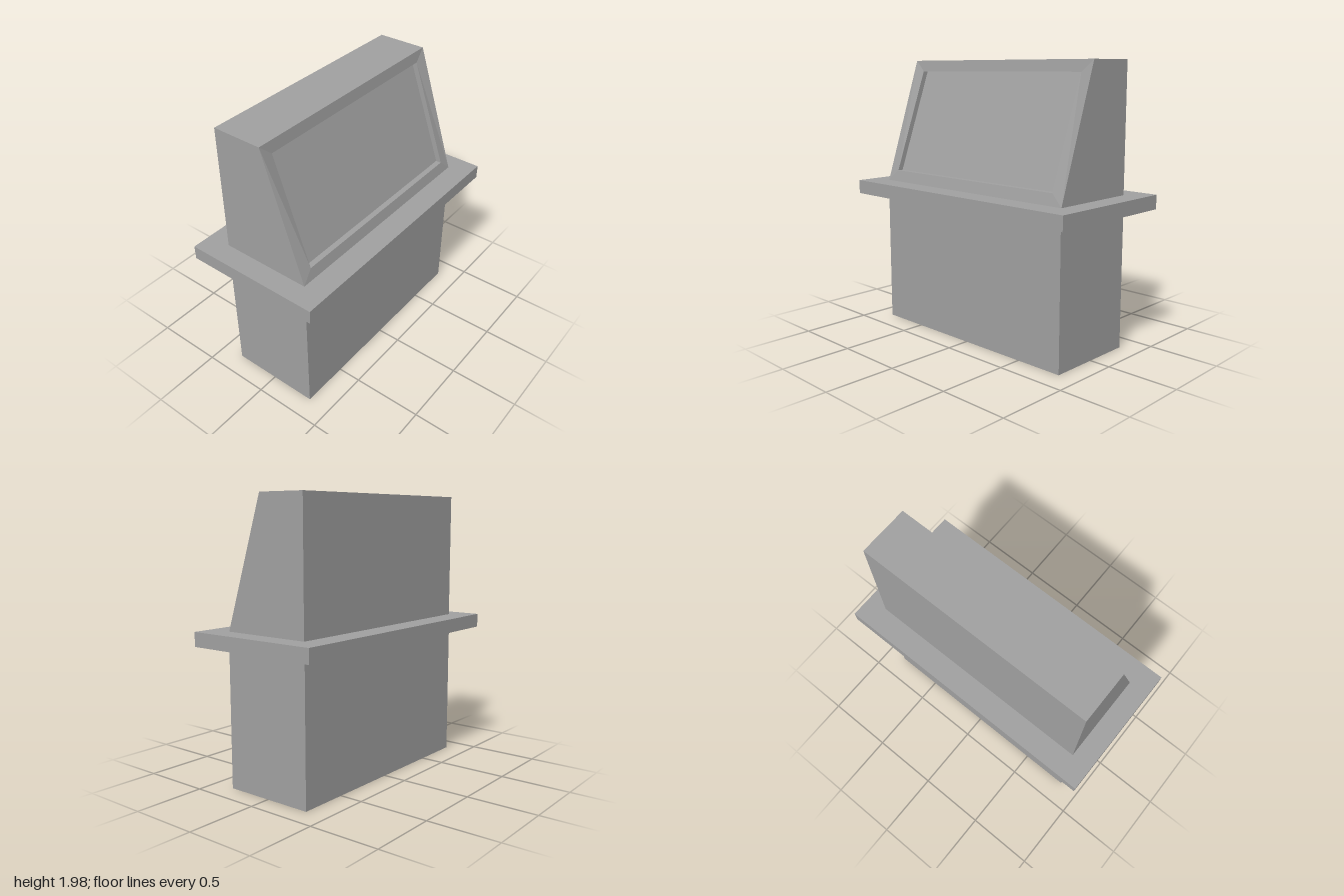
import * as THREE from 'three';

// Four-corner loop, counter-clockwise as seen from the front
const loop = (halfX, y0, z0, y1, z1) => [
  [-halfX, y0, z0], [halfX, y0, z0], [halfX, y1, z1], [-halfX, y1, z1],
];

// Skin a series of four-corner loops from back to front and cap both ends
function skin(loops) {
  const index = [];
  const last = (loops.length - 1) * 4;
  for (let r = 0; r < last; r += 4) {
    for (let i = 0; i < 4; i++) {
      const j = (i + 1) % 4;
      index.push(r + i, r + j, r + 4 + j, r + i, r + 4 + j, r + 4 + i);
    }
  }
  index.push(0, 2, 1, 0, 3, 2);
  index.push(last, last + 1, last + 2, last, last + 2, last + 3);
  const geometry = new THREE.BufferGeometry();
  geometry.setAttribute('position', new THREE.Float32BufferAttribute(loops.flat(2), 3));
  geometry.setIndex(index);
  const flat = geometry.toNonIndexed();
  flat.computeVertexNormals();
  return flat;
}

export function createModel() {
  const model = new THREE.Group();
  model.name = 'console';
  const grey = new THREE.MeshStandardMaterial({ color: 0xa0a0a0 });
  grey.name = 'grey';

  const add = (name, geometry, y = 0) => {
    const mesh = new THREE.Mesh(geometry, grey);
    mesh.name = name;
    mesh.position.y = y;
    model.add(mesh);
  };

  // Pedestal and overhanging counter slab
  add('pedestal', new THREE.BoxGeometry(1.7, 0.98, 0.666), 0.49);
  add('counter', new THREE.BoxGeometry(2, 0.1, 1), 1.03);

  // Sloped housing: back, front edge, screen rim, recessed screen
  add('screenHousing', skin([
    loop(0.85, 1.08, -0.33, 1.98, -0.33),
    loop(0.85, 1.08, 0.33, 1.98, 0.03),
    loop(0.76, 1.16, 0.31, 1.9, 0.042),
    loop(0.76, 1.16, 0.27, 1.9, 0.002),
  ]));

  return model;
}
